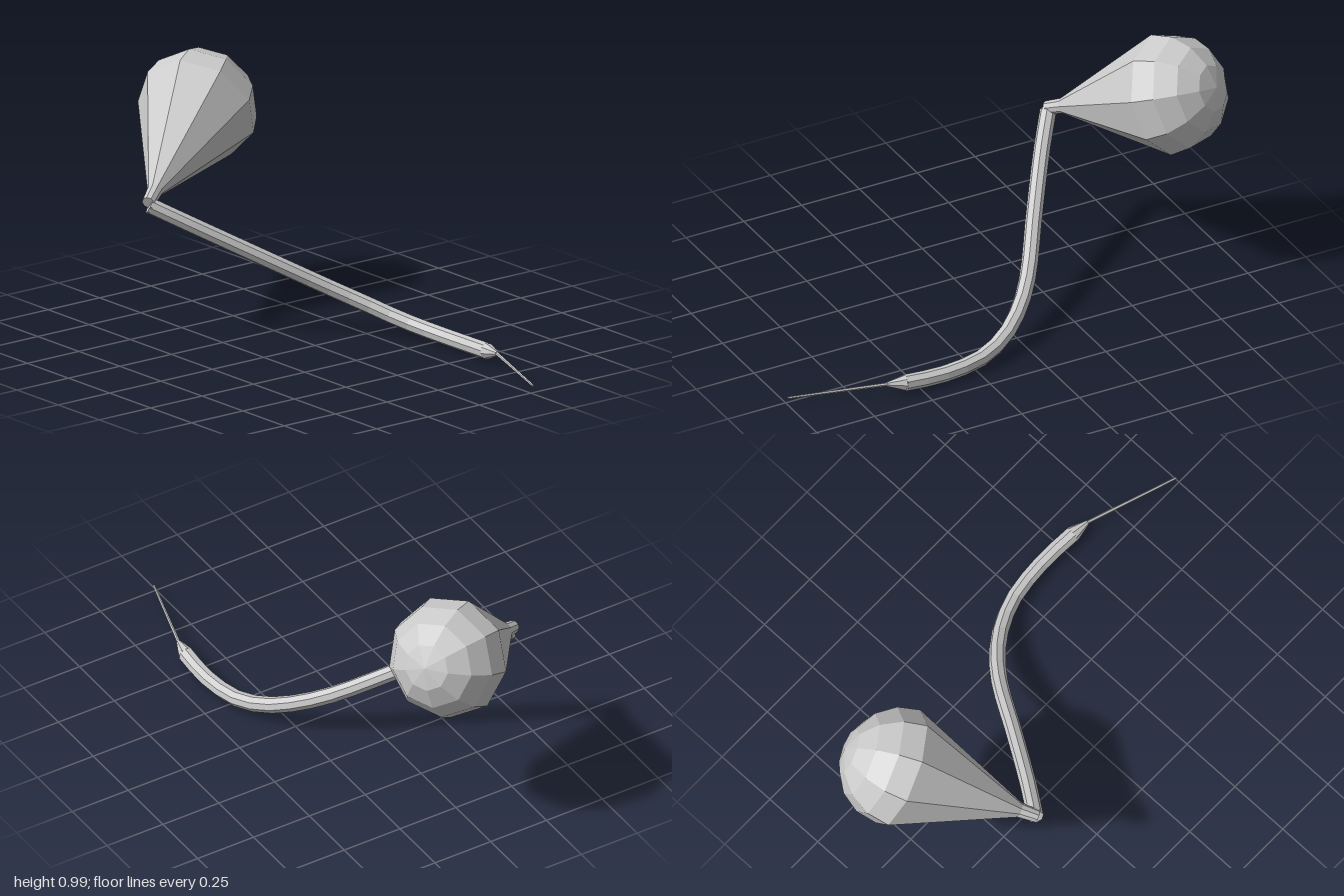
import * as THREE from 'three';

const V = (x, y, z) => new THREE.Vector3(x, y, z);

export function createModel() {
  const group = new THREE.Group();
  const material = new THREE.MeshStandardMaterial({ color: 0xcccccc, flatShading: true, side: THREE.DoubleSide });

  const add = (name, geometry) => {
    const mesh = new THREE.Mesh(geometry, material);
    mesh.name = name;
    group.add(mesh);
    return mesh;
  };

  // straight tapered rod between two points
  const rod = (name, a, b, ra, rb, sides) => {
    const dir = b.clone().sub(a);
    const mesh = add(name, new THREE.CylinderGeometry(rb, ra, dir.length(), sides));
    mesh.position.copy(a).add(b).multiplyScalar(0.5);
    mesh.quaternion.setFromUnitVectors(V(0, 1, 0), dir.normalize());
    return mesh;
  };

  // bulb: short neck, long cone and a domed cap turned about a tilted axis
  const neck = V(-0.5, 0.54, 0.405);
  const dome = V(-0.768, 0.757, -0.036);
  const radius = 0.236;
  const axis = dome.clone().sub(neck);
  const length = axis.length();
  axis.normalize();
  const profile = [
    new THREE.Vector2(0, -0.015),
    new THREE.Vector2(0.026, -0.015),
    new THREE.Vector2(0.03, 0.06),
  ];
  for (let i = 0; i <= 4; i++) {
    const t = (i / 4) * Math.PI / 2;
    profile.push(new THREE.Vector2(radius * Math.cos(t), length + radius * Math.sin(t)));
  }
  const bulb = add('bulb', new THREE.LatheGeometry(profile, 9, THREE.MathUtils.degToRad(92)));
  const side = V(0, 1, 0).cross(axis).normalize();
  const basis = new THREE.Matrix4().makeBasis(side, axis, side.clone().cross(axis));
  bulb.quaternion.setFromRotationMatrix(basis);
  bulb.position.copy(neck);

  // curved stem
  const path = new THREE.CatmullRomCurve3([
    V(-0.495, 0.522, 0.41), V(-0.4, 0.445, 0.285), V(-0.25, 0.315, 0.07),
    V(-0.1, 0.183, -0.15), V(0, 0.12, -0.255), V(0.1, 0.075, -0.325),
    V(0.22, 0.047, -0.375), V(0.4, 0.037, -0.397), V(0.56, 0.042, -0.39),
  ]);
  const r = 0.032, sides = 8;
  add('stem', new THREE.TubeGeometry(path, 18, r, sides, false));
  const start = path.getPoint(0);
  rod('stemEnd', start, start.clone().addScaledVector(path.getTangent(0), 0.01), r, r, sides);

  // tapered stem tip and thin tail
  const tip = V(0.632, 0.051, -0.38);
  rod('stemTip', path.getPoint(1), tip, r, 0.009, sides);
  rod('tail', tip, V(0.998, 0.033, -0.262), 0.007, 0.005, 6);

  return group;
}
